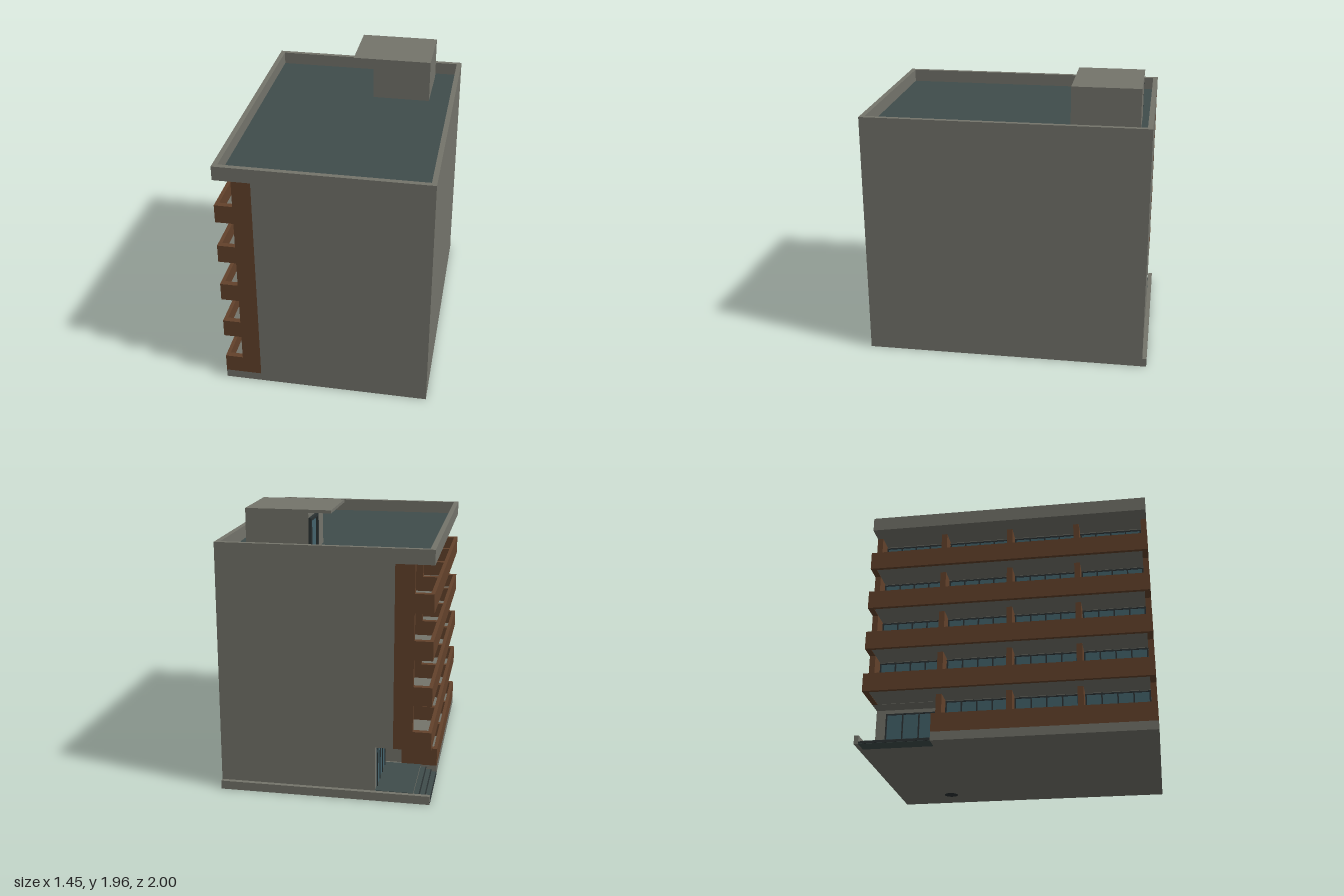
import * as THREE from 'three';

export function createModel() {
  const model = new THREE.Group();
  model.name = 'apartmentBlock';

  const mat = (name, color) => {
    const m = new THREE.MeshStandardMaterial({ color });
    m.name = name;
    return m;
  };
  const concrete = mat('concrete grey', 0x74746b);
  const brick = mat('brick brown', 0x63422b);
  const roofing = mat('roof slate', 0x3f4c4b);
  const glass = mat('window glass', 0x44636c);
  const dark = mat('dark frame', 0x2b3233);

  // Box given by its limits on each axis
  const box = (name, material, x0, x1, y0, y1, z0, z1, parent = model) => {
    const mesh = new THREE.Mesh(new THREE.BoxGeometry(x1 - x0, y1 - y0, z1 - z0), material);
    mesh.position.set((x0 + x1) / 2, (y0 + y1) / 2, (z0 + z1) / 2);
    mesh.name = name;
    parent.add(mesh);
    return mesh;
  };
  const group = (name) => {
    const g = new THREE.Group();
    g.name = name;
    model.add(g);
    return g;
  };

  const W = 0.725, BACK = -0.97, FRONT = 1;
  const BASE = 0.06, FLOOR = 0.315, EAVE = 1.64, TOP = 1.74;
  const WALL = -0.47, PIER = -0.6, LOBBY = -0.35;
  const T = 0.04, PITCH = (FRONT - BACK - T) / 4;
  const finZ = (k) => BACK + k * PITCH;

  // Base slab with a notch for the entrance steps
  const stepX = -0.61, stepEnd = finZ(1);
  box('base', concrete, stepX, W, 0, BASE, -1, FRONT);
  box('baseEdge', concrete, -W, stepX, 0, BASE, stepEnd, FRONT);
  box('baseEndStrip', concrete, -W, stepX, 0, BASE, -1, BACK);
  const steps = group('entranceSteps');
  for (let i = 0; i < 3; i++) {
    const x = -W + i * 0.038;
    box('step', roofing, x, stepX, i * 0.015, (i + 1) * 0.015, BACK, stepEnd, steps);
    box('stepNosing', dark, x - 0.002, x + 0.004, i * 0.015 + 0.002, (i + 1) * 0.015 + 0.002, BACK, stepEnd, steps);
  }
  box('lobbyFloor', roofing, stepX, LOBBY, BASE, BASE + 0.003, BACK, stepEnd);

  // Main walls, cut away at the entrance corner
  const lobbyTop = BASE + FLOOR;
  box('upperBody', concrete, WALL, W, lobbyTop, EAVE, BACK, FRONT);
  box('groundBody', concrete, WALL, W, BASE, lobbyTop, finZ(1) + T / 2, FRONT);
  box('groundBodyBack', concrete, LOBBY, W, BASE, lobbyTop, BACK, finZ(1) + T / 2);

  // Roof and parapet
  const rim = 0.035;
  box('roofSlab', concrete, -W, W, EAVE, 1.645, BACK, FRONT);
  box('roofSurface', roofing, -W + rim, W - rim, 1.645, 1.65, BACK + rim, FRONT - rim);
  for (const s of [-1, 1]) {
    const x = s * (W - rim / 2);
    box('sideParapet', concrete, x - rim / 2, x + rim / 2, 1.645, TOP, BACK, FRONT);
  }
  box('backParapet', concrete, -W + rim, W - rim, 1.645, TOP, BACK, BACK + rim);
  box('frontParapet', concrete, -W + rim, W - rim, 1.645, TOP, FRONT - rim, FRONT);

  // Upright brick fins between the bays
  const fins = group('brickFins');
  for (let k = 0; k < 5; k++) {
    box('fin', brick, PIER, WALL, k === 0 ? lobbyTop : BASE, EAVE, finZ(k), finZ(k) + T, fins);
  }

  // Glazing on a wall facing -x: pane, frame bars and a rail
  const glazing = (x, y0, y1, z0, z1, panes, parent) => {
    box('glassPane', glass, x - 0.004, x, y0, y1, z0, z1, parent);
    for (let i = 0; i <= panes; i++) {
      const z = z0 + 0.006 + (i / panes) * (z1 - z0 - 0.012);
      box('frameBar', dark, x - 0.01, x, y0, y1, z - 0.005, z + 0.005, parent);
    }
    box('frameHead', dark, x - 0.009, x, y1 - 0.01, y1, z0, z1, parent);
  };

  // Balconies, floor by floor
  const facade = group('balconies');
  for (let i = 0; i < 5; i++) {
    const y = BASE + i * FLOOR, first = i === 0 ? 1 : 0;
    const z0 = finZ(first), top = y + 0.13;
    box('balconyFront', brick, -W, -0.7, y, top, z0, FRONT, facade);
    box('balconySlab', concrete, -0.7, WALL, y + 0.002, y + 0.03, z0 + T, FRONT - T, facade);
    for (let k = first; k < 5; k++) {
      const end = k === first || k === 4;
      box('balconyDivider', brick, -0.7, PIER, end ? y : y + 0.03, top, finZ(k), finZ(k) + T, facade);
      if (k < 4) {
        glazing(WALL, y + 0.03, Math.min(y + FLOOR, EAVE) - 0.005, finZ(k) + T, finZ(k + 1), 4, facade);
      }
    }
  }

  // Entrance doors
  glazing(LOBBY, BASE + 0.003, lobbyTop - 0.03, BACK + 0.07, finZ(1) - 0.05, 3, group('entranceDoors'));

  // Rooftop stair house with canopy and door
  const house = group('stairHouse');
  const hx = 0.11, hz0 = -0.885, hz1 = -0.415;
  box('houseWalls', concrete, hx, 0.53, 1.65, 1.935, hz0, hz1, house);
  box('houseCanopy', concrete, -0.04, 0.53, 1.935, 1.955, hz0, hz1, house);
  for (const z of [hz0, -0.68]) box('doorJamb', dark, hx - 0.02, hx, 1.65, 1.9, z, z + 0.025, house);
  box('doorHead', dark, hx - 0.02, hx, 1.88, 1.9, hz0 + 0.025, -0.68, house);
  box('doorPanel', glass, hx - 0.005, hx, 1.65, 1.88, hz0 + 0.025, -0.68, house);

  // Drain cover under the base
  const drain = new THREE.Mesh(new THREE.CylinderGeometry(0.05, 0.05, 0.002, 20), dark);
  drain.position.set(0.51, 0, -0.6);
  drain.name = 'drainCover';
  model.add(drain);

  return model;
}
